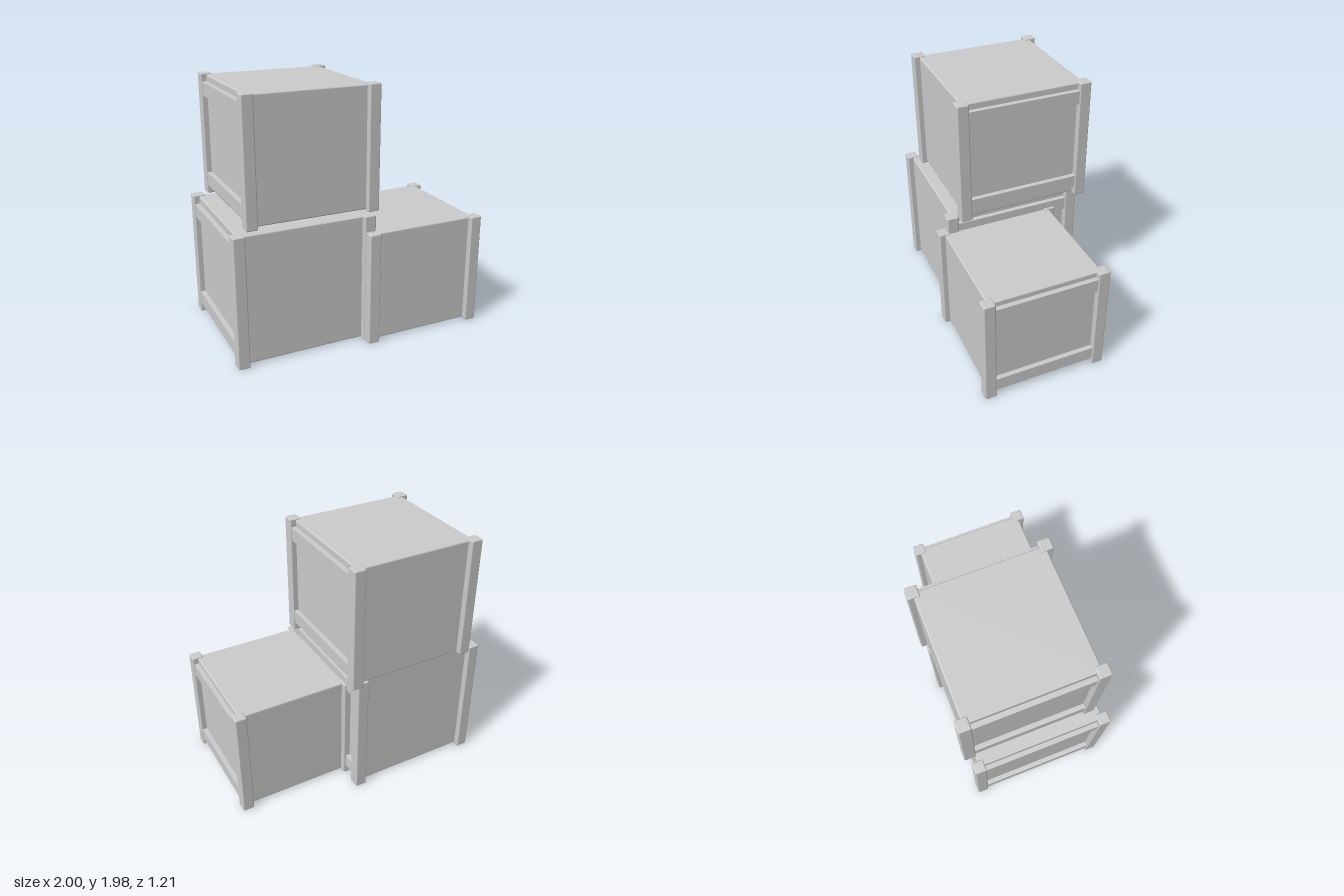
import * as THREE from 'three';
import { RoundedBoxGeometry } from 'three/addons/geometries/RoundedBoxGeometry.js';

const grey = new THREE.MeshStandardMaterial({ color: 0xcccccc });
grey.name = 'crate grey';

function addBox(parent, name, size, position, radius) {
  const mesh = new THREE.Mesh(new RoundedBoxGeometry(...size, 2, radius), grey);
  mesh.name = name;
  mesh.position.set(...position);
  parent.add(mesh);
}

// A crate standing on its own y = 0, centred on x and z
function createCrate(name, width, height, depth) {
  const crate = new THREE.Group();
  crate.name = name;
  const post = 0.09;
  const gap = 0.01;
  const bodyW = width - post;
  const bodyD = depth - post;

  // Closed core, its corners buried in the posts
  addBox(crate, 'body', [bodyW, height - 2 * gap, bodyD], [0, height / 2, 0], 0.012);

  for (const sx of [-1, 1]) {
    // Corner posts
    for (const sz of [-1, 1]) {
      addBox(crate, 'cornerPost', [post, height, post],
        [sx * bodyW / 2, height / 2, sz * bodyD / 2], 0.009);
    }
    // Raised slats across the two ends
    for (const y of [0.121 * height + 0.005, 0.88 * height]) {
      addBox(crate, 'endSlat', [0.06, 0.108, bodyD],
        [sx * (bodyW / 2 + 0.006), y, 0], 0.002);
    }
  }
  return crate;
}

export function createModel() {
  const model = new THREE.Group();
  model.name = 'crateStack';

  const large = createCrate('largeCrate', 1.1, 1.02, 1.095);
  large.position.set(-0.45, 0, -0.018);

  const small = createCrate('smallCrate', 0.98, 0.895, 0.978);
  small.position.set(0.508, 0, 0.114);

  const upper = createCrate('upperCrate', 1.046, 0.96, 1.046);
  upper.position.set(-0.352, 1.015, -0.08);

  model.add(large, small, upper);
  return model;
}
